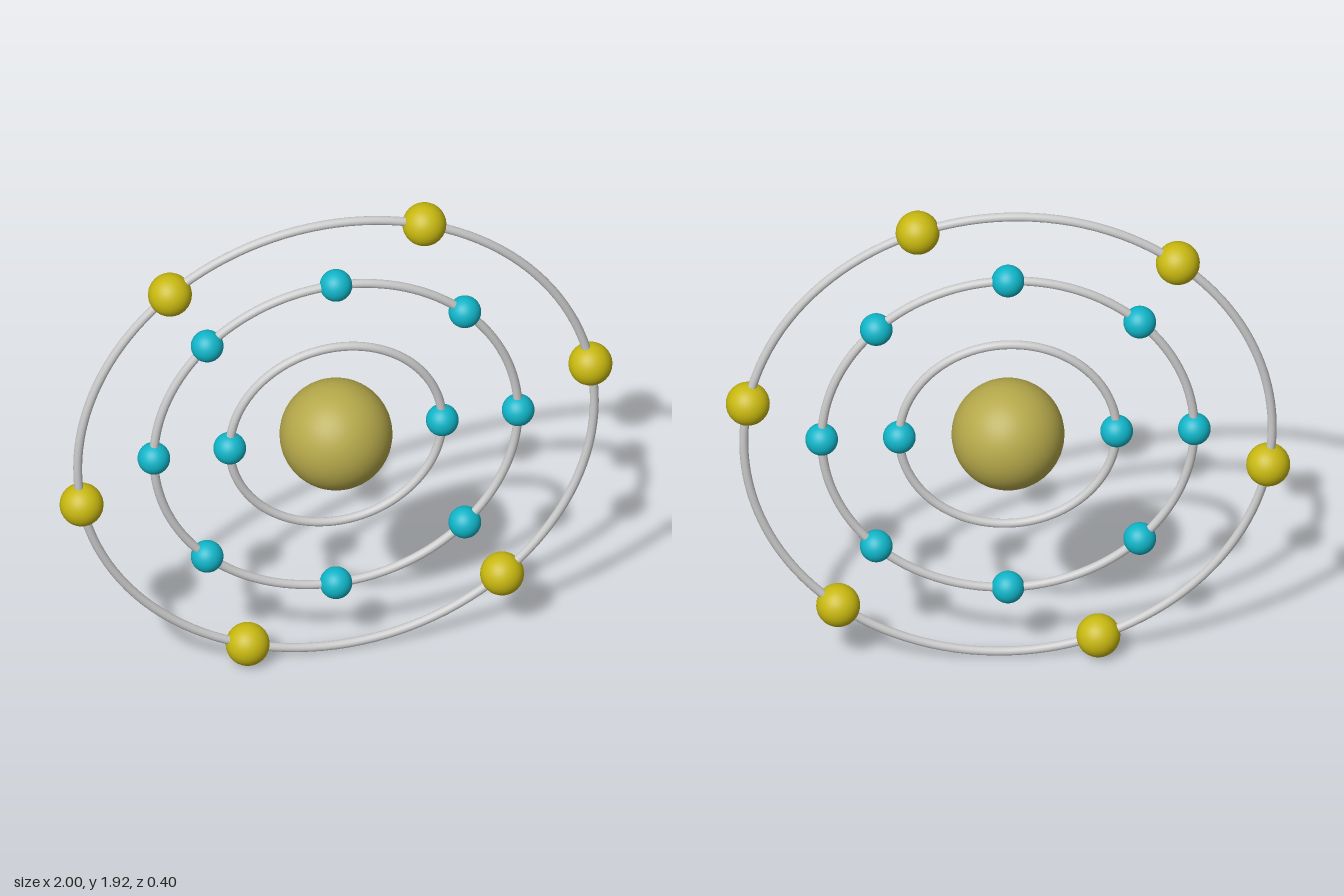
import * as THREE from 'three';

const CENTER_Y = 0.958;
const TUBE = 0.016;

const ringMat = new THREE.MeshStandardMaterial({ color: 0xcccccc });
const nucleusMat = new THREE.MeshStandardMaterial({ color: 0xb5a84a });
const blueMat = new THREE.MeshStandardMaterial({ color: 0x10b5c8 });
const yellowMat = new THREE.MeshStandardMaterial({ color: 0xc8b810 });

// One orbit: a thin ring with evenly spaced electrons, first one at startDeg
function createShell(name, radius, count, startDeg, size, material) {
  const shell = new THREE.Group();
  shell.name = name;

  const ring = new THREE.Mesh(new THREE.TorusGeometry(radius, TUBE, 16, 128), ringMat);
  ring.name = 'orbitRing';
  shell.add(ring);

  const ball = new THREE.SphereGeometry(size, 32, 20);
  for (let i = 0; i < count; i++) {
    const a = THREE.MathUtils.degToRad(startDeg + (i * 360) / count);
    const electron = new THREE.Mesh(ball, material);
    electron.name = 'electron';
    electron.position.set(radius * Math.cos(a), radius * Math.sin(a), 0);
    shell.add(electron);
  }
  return shell;
}

export function createModel() {
  const atom = new THREE.Group();
  atom.name = 'atom';

  // Nucleus
  const nucleus = new THREE.Mesh(new THREE.SphereGeometry(0.2, 48, 32), nucleusMat);
  nucleus.name = 'nucleus';

  // Three concentric electron shells in the upright plane
  atom.add(
    nucleus,
    createShell('innerShell', 0.385, 2, 0, 0.058, blueMat),
    createShell('middleShell', 0.66, 8, 0, 0.058, blueMat),
    createShell('outerShell', 0.936, 6, 10, 0.078, yellowMat)
  );
  atom.position.y = CENTER_Y;

  const model = new THREE.Group();
  model.name = 'atomModel';
  model.add(atom);
  return model;
}
